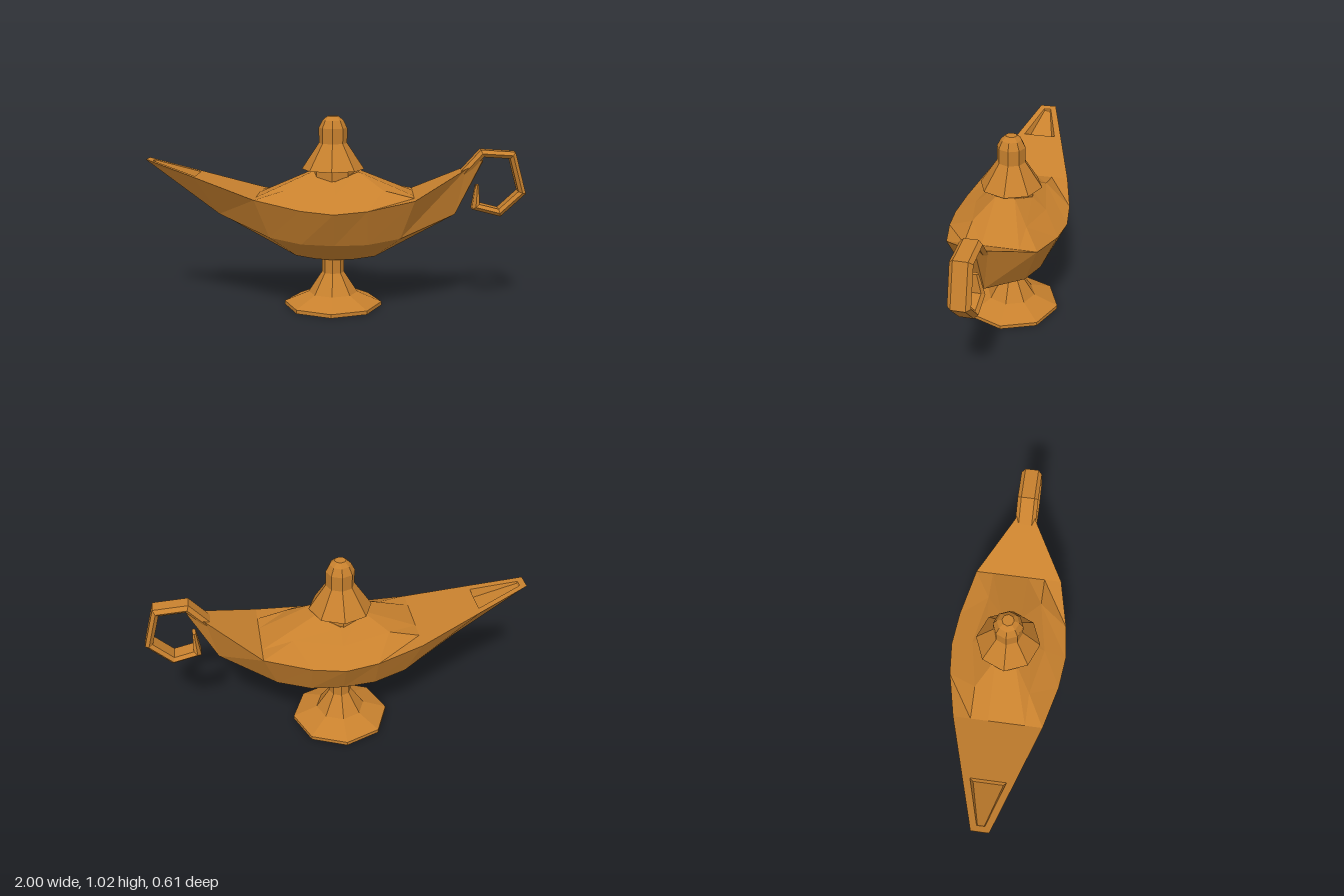
import * as THREE from 'three';

const brass = new THREE.MeshStandardMaterial({ color: 0xc8812e, flatShading: true });
const brassOpen = new THREE.MeshStandardMaterial({ color: 0xc8812e, flatShading: true, side: THREE.DoubleSide });

// Skin a row of closed loops with flat facets and cap both ends; skip(i, j) leaves a panel open.
function loft(loops, skip = () => false, capStart = true) {
  const pos = [];
  const tri = (...pts) => pts.forEach((p) => pos.push(...p));
  const n = loops[0].length;
  for (let i = 0; i < loops.length - 1; i++) {
    for (let j = 0; j < n; j++) {
      if (skip(i, j)) continue;
      const k = (j + 1) % n;
      const [a, b, c, d] = [loops[i][j], loops[i + 1][j], loops[i + 1][k], loops[i][k]];
      tri(a, b, c);
      tri(a, c, d);
    }
  }
  const first = loops[0], last = loops[loops.length - 1];
  for (let k = 1; k < n - 1; k++) {
    if (capStart) tri(first[0], first[k], first[k + 1]);
    tri(last[0], last[k + 1], last[k]);
  }
  const geo = new THREE.BufferGeometry();
  geo.setAttribute('position', new THREE.Float32BufferAttribute(pos, 3));
  geo.computeVertexNormals();
  return geo;
}

// Half section (z > 0, bottom to top) completed by its mirror image.
const mirrorZ = (half) => [...half, ...half.slice().reverse().map(([x, y, z]) => [x, y, -z])];

function part(group, name, geo, material = brass) {
  const mesh = new THREE.Mesh(geo, material);
  mesh.name = name;
  group.add(mesh);
  return mesh;
}

// Eight-sided turned part, on the axis of the stand.
function turned(group, name, profile) {
  const geo = new THREE.LatheGeometry(profile.map(([r, y]) => new THREE.Vector2(r, y)), 8);
  part(group, name, geo.toNonIndexed()).position.x = -0.015;
}

export function createModel() {
  const group = new THREE.Group();

  // Bowl sections from spout to handle: keel, belly, rim, shoulder, neck
  const halves = [
    [[-1, 0.785, 0.01], [-1, 0.787, 0.03], [-1, 0.795, 0.045], [-1, 0.795, 0.03], [-1, 0.795, 0.02]],
    [[-0.97, 0.762, 0.01], [-0.97, 0.765, 0.03], [-0.97, 0.785, 0.054], [-0.97, 0.785, 0.035], [-0.97, 0.785, 0.02]],
    [[-0.62, 0.5, 0.005], [-0.62, 0.502, 0.03], [-0.735, 0.712, 0.128], [-0.735, 0.712, 0.11], [-0.735, 0.712, 0.09]],
    [[-0.21, 0.28, 0.04], [-0.34, 0.4, 0.155], [-0.41, 0.61, 0.23], [-0.41, 0.61, 0.14], [-0.41, 0.61, 0.05]],
    [[-0.1, 0.267, 0.06], [-0.17, 0.375, 0.2], [-0.17, 0.565, 0.287], [-0.25, 0.65, 0.14], [-0.12, 0.735, 0.05]],
    [[0, 0.262, 0.065], [0, 0.37, 0.21], [0, 0.55, 0.305], [0, 0.625, 0.19], [0, 0.69, 0.117]],
    [[0.1, 0.267, 0.06], [0.17, 0.375, 0.2], [0.17, 0.565, 0.287], [0.25, 0.65, 0.14], [0.12, 0.735, 0.05]],
    [[0.21, 0.28, 0.04], [0.34, 0.4, 0.155], [0.41, 0.61, 0.23], [0.41, 0.61, 0.14], [0.41, 0.61, 0.05]],
    [[0.63, 0.505, 0.005], [0.63, 0.507, 0.02], [0.68, 0.75, 0.055], [0.68, 0.75, 0.03], [0.68, 0.75, 0.01]],
    [[0.77, 0.785, 0.005], [0.77, 0.787, 0.02], [0.77, 0.8, 0.03], [0.77, 0.8, 0.02], [0.77, 0.8, 0.01]],
  ];
  // The centre deck panel of the spout stays open
  part(group, 'bowl', loft(halves.map(mirrorZ), (i, j) => i === 1 && j === 4));

  // Shallow recess in the spout
  const opening = mirrorZ([[-0.735, 0.712, 0.09], [-0.97, 0.785, 0.02]]);
  const floor = mirrorZ([[-0.74, 0.665, 0.075], [-0.965, 0.775, 0.017]]);
  part(group, 'spoutOpening', loft([opening, floor], undefined, false), brassOpen);

  // Foot, collar and lid
  turned(group, 'foot', [[0, 0], [0.262, 0], [0.262, 0.02], [0.132, 0.075], [0.06, 0.185], [0.06, 0.28]]);
  turned(group, 'collar', [[0.117, 0.64], [0.117, 0.75]]);
  turned(group, 'lid', [[0, 0.743], [0.165, 0.743], [0.075, 0.88], [0.075, 0.96], [0.055, 1.0], [0.03, 1.022], [0, 1.022]]);

  // Curled handle: a chamfered strap swept along an angular path
  const path = [[0.665, 0.72], [0.765, 0.832], [0.923, 0.823], [0.977, 0.627], [0.863, 0.519], [0.737, 0.55], [0.745, 0.663]]
    .map(([x, y]) => new THREE.Vector2(x, y));
  const strap = [[-0.018, 0.04], [0, 0.055], [0.018, 0.035]];
  const rings = path.map((p, i) => {
    const inDir = p.clone().sub(path[Math.max(i - 1, 0)]).normalize();
    const outDir = path[Math.min(i + 1, path.length - 1)].clone().sub(p).normalize();
    const t = inDir.clone().add(outDir).normalize();
    const isEnd = i === 0 || i === path.length - 1;
    const miter = isEnd ? 1 : 1 / t.dot(outDir);
    const taper = i === path.length - 1 ? 0.5 : 1;
    return mirrorZ(strap.map(([h, z]) => [
      p.x - t.y * h * miter * taper, p.y + t.x * h * miter * taper, z * taper,
    ]));
  });
  part(group, 'handle', loft(rings));

  return group;
}
